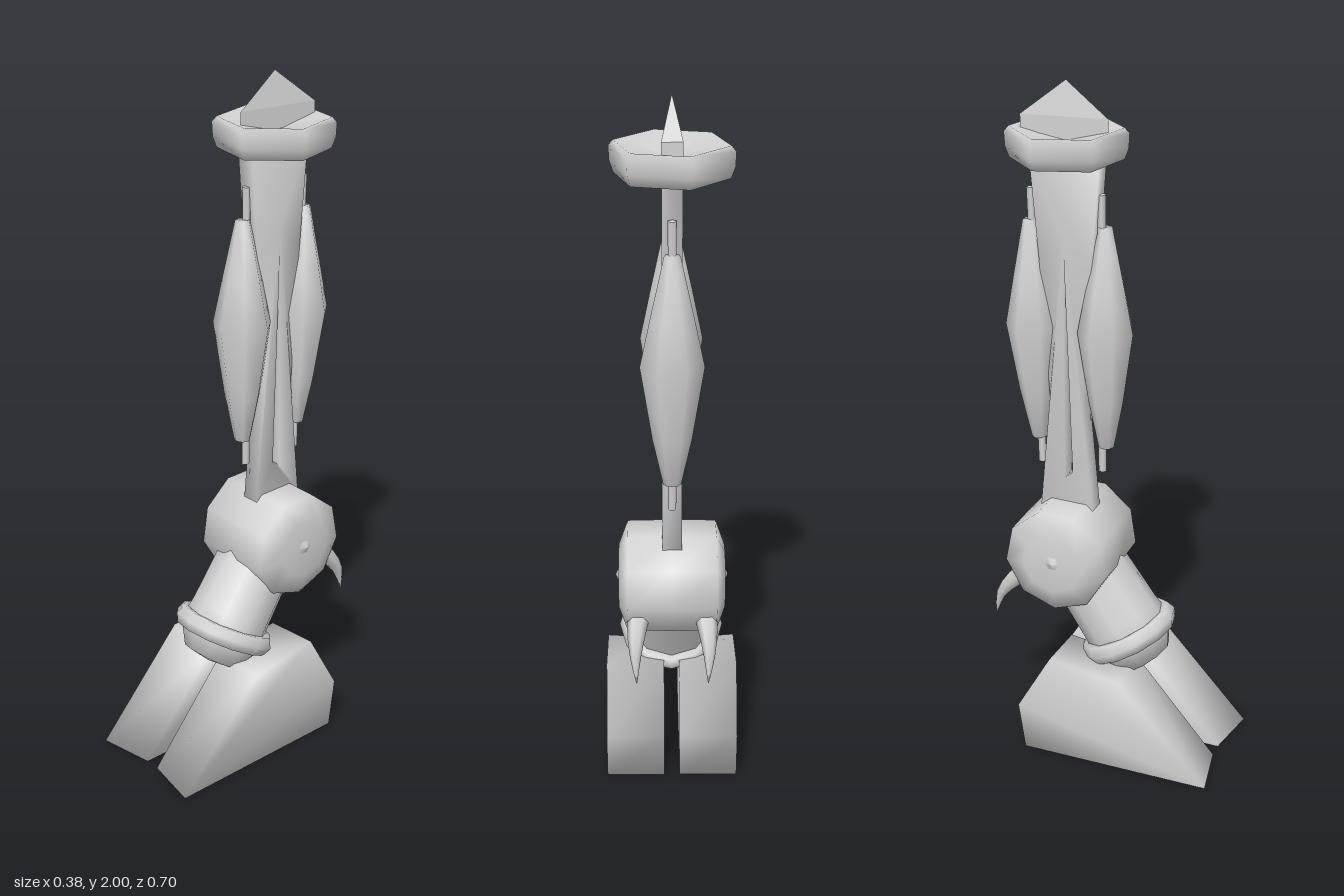
import * as THREE from 'three';
import { mergeVertices } from 'three/addons/utils/BufferGeometryUtils.js';
import { ConvexGeometry } from 'three/addons/geometries/ConvexGeometry.js';

const grey = new THREE.MeshStandardMaterial({ color: 0xd2d2d2 });
grey.name = 'plain light grey';

export function createModel() {
  const model = new THREE.Group();
  model.name = 'hoofedLeg';

  const add = (name, geometry, x = 0, y = 0, z = 0) => {
    const mesh = new THREE.Mesh(geometry, grey);
    mesh.name = name;
    mesh.position.set(x, y, z);
    model.add(mesh);
    return mesh;
  };
  const lathe = (profile, sides, phase = 0) =>
    new THREE.LatheGeometry(profile.map(([r, h]) => new THREE.Vector2(r, h)), sides, phase);
  const vectors = (points) => points.map(([z, y]) => new THREE.Vector2(z, y));

  // Shares the corners of a geometry so that its shading runs smoothly over the edges
  const smooth = (geometry) => {
    geometry.deleteAttribute('uv');
    geometry.deleteAttribute('normal');
    const g = mergeVertices(geometry, 1e-4);
    g.computeVertexNormals();
    return g;
  };

  // Extrudes a (z, y) outline across x from x0 to x1
  const sideExtrude = (outline, x0, x1, hole) => {
    const shape = new THREE.Shape(vectors(outline));
    if (hole) shape.holes.push(new THREE.Path(vectors(hole)));
    const g = new THREE.ExtrudeGeometry(shape, { depth: x1 - x0, bevelEnabled: false });
    return smooth(g.rotateY(-Math.PI / 2).translate(x1, 0, 0));
  };

  // Two toes of the hoof, with the toe edge slanting back towards the middle
  const toe = [[0.355, 0], [0.08, 0.3], [-0.135, 0.33], [-0.24, 0.145], [-0.22, 0]];
  for (const s of [1, -1]) {
    const g = sideExtrude(toe, s > 0 ? 0.022 : -0.19, s > 0 ? 0.19 : -0.022);
    const p = g.attributes.position;
    for (let i = 0; i < p.count; i++) {
      if (Math.abs(p.getX(i)) > 0.1) continue;
      if (p.getZ(i) > 0.3) p.setZ(i, 0.325);
      if (p.getY(i) > 0.2) p.setY(i, p.getY(i) - 0.012);
    }
    g.computeVertexNormals();
    add(s > 0 ? 'leftToe' : 'rightToe', g);
  }

  // Slanted pastern with its rounded lower end, and the collar around it
  const pastern = add('pastern',
    lathe([[0, -0.105], [0.085, -0.09], [0.13, -0.02], [0.122, 0.05], [0.115, 0.3]], 10), 0, 0.36, 0.045);
  pastern.rotation.x = -0.6;
  const collar = add('collar',
    new THREE.TorusGeometry(0.128, 0.026, 6, 12).rotateX(Math.PI / 2), 0, 0.36, 0.043);
  collar.rotation.x = -0.51;
  collar.scale.y = 1.2;

  // Barrel-shaped fetlock joint lying across the leg, with a stud on each end
  const barrel = [[0, 0.15], [0.09, 0.15], [0.158, 0.125], [0.16, 0]];
  const profile = [...barrel.map(([r, h]) => [r, -h]), ...barrel.slice(0, 3).reverse()];
  add('fetlock', lathe(profile, 9, 0.2).rotateZ(-Math.PI / 2), 0, 0.625, -0.14);
  for (const s of [1, -1]) {
    add('jointStud', new THREE.ConeGeometry(0.026, 0.012, 6).rotateZ(-s * Math.PI / 2), s * 0.154, 0.63, -0.14);
  }

  // Curved dewclaws: a tube narrowed towards its tip
  for (const s of [1, -1]) {
    const curve = new THREE.CatmullRomCurve3([
      new THREE.Vector3(s * 0.09, 0.58, -0.22), new THREE.Vector3(s * 0.1, 0.525, -0.285),
      new THREE.Vector3(s * 0.103, 0.47, -0.325), new THREE.Vector3(s * 0.1, 0.395, -0.346)]);
    const rings = 6, sides = 6;
    const g = new THREE.TubeGeometry(curve, rings, 0.035, sides);
    const p = g.attributes.position, v = new THREE.Vector3();
    for (let i = 0; i < p.count; i++) {
      const t = Math.floor(i / (sides + 1)) / rings;
      const c = curve.getPointAt(t);
      v.fromBufferAttribute(p, i).sub(c).multiplyScalar(1 - 0.97 * t ** 1.4).add(c);
      p.setXYZ(i, v.x, v.y, v.z);
    }
    add(s > 0 ? 'leftDewclaw' : 'rightDewclaw', smooth(g));
  }

  // Flat shin bone, waisted and split by a narrow slit
  const shin = [[-0.06, 0.74], [-0.225, 0.74], [-0.19, 1.1], [-0.215, 1.5], [-0.24, 1.8],
    [-0.035, 1.8], [-0.06, 1.5], [-0.09, 1.1]];
  add('shinBone', sideExtrude(shin, -0.027, 0.027, [[-0.148, 0.85], [-0.123, 0.87], [-0.143, 1.57]]));

  // Spindle muscles before and behind the bone, with their tendons
  const muscle = lathe([[0, 0], [0.025, 0], [0.055, 0.14], [0.088, 0.35], [0.06, 0.48], [0.022, 0.65], [0, 0.65]], 7);
  const tendon = new THREE.CylinderGeometry(0.012, 0.012, 0.82, 5);
  for (const [name, z, tendonZ, lean] of [['front', -0.028, -0.04, 0], ['rear', -0.236, -0.238, -0.025]]) {
    const m = add(name + 'Muscle', muscle, 0, 0.96, z);
    m.scale.z = 0.9;
    m.rotation.x = lean;
    add(name + 'Tendon', tendon, 0, 1.29, tendonZ).rotation.x = lean;
  }

  // Six-sided dished cap on top of the bone
  const dish = [[0, 1.8], [0.125, 1.785], [0.155, 1.79], [0.166, 1.82], [0.168, 1.86], [0.155, 1.875], [0, 1.84]];
  add('dishCap', lathe(dish, 6, 0.3), 0, 0, -0.14);

  // Wedge-shaped crest standing on the cap
  const crest = [[0, 1.82, -0.02], [0, 1.905, -0.02], [0, 2, -0.14]];
  for (const x of [-0.028, 0.028]) crest.push([x, 1.82, -0.262], [x, 1.905, -0.262]);
  add('crest', new ConvexGeometry(crest.map((c) => new THREE.Vector3(...c))));

  return model;
}
